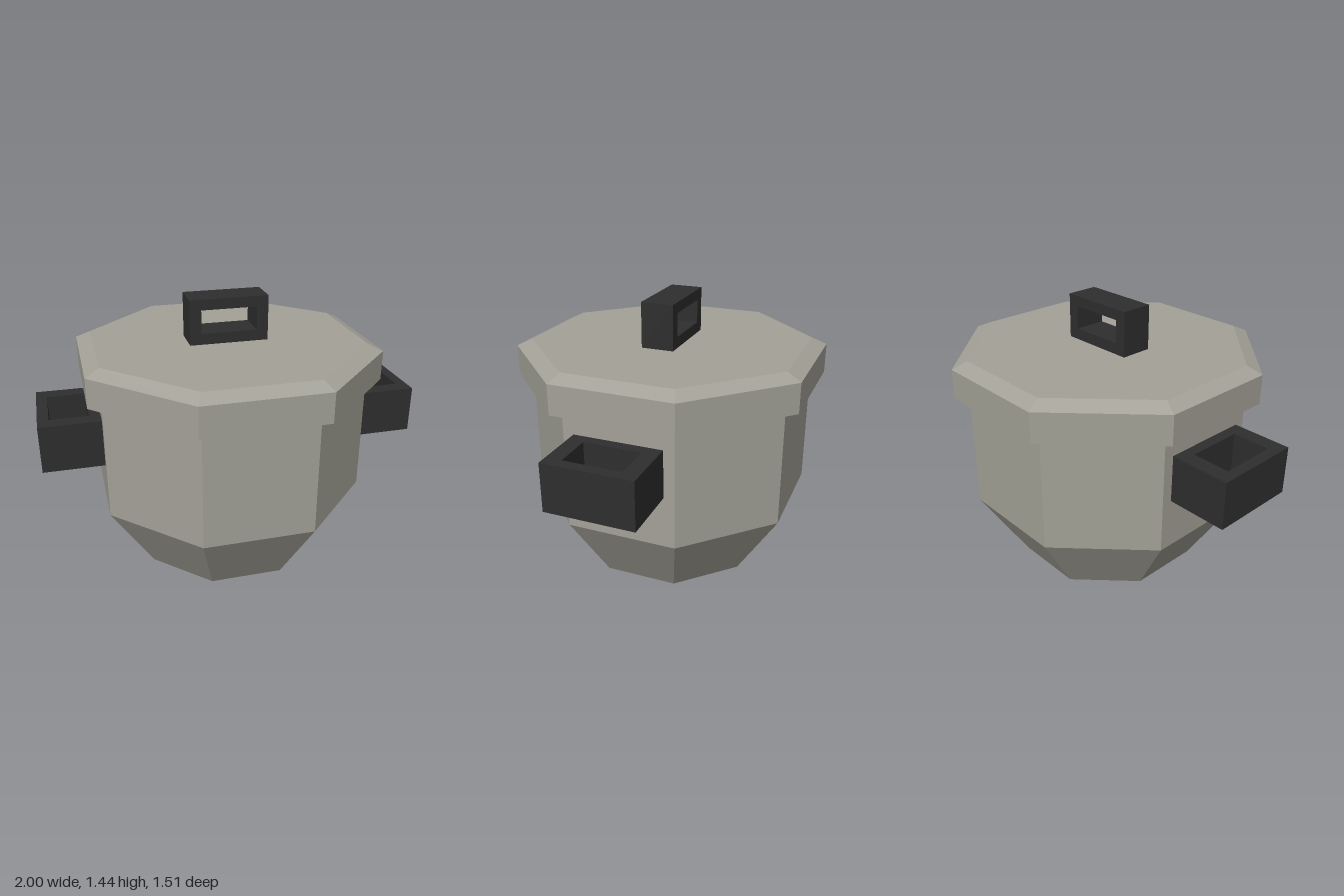
import * as THREE from 'three';

const steel = new THREE.MeshStandardMaterial({ color: 0xa3a197 });
steel.name = 'warm grey metal';
const black = new THREE.MeshStandardMaterial({ color: 0x2e2e2e });
black.name = 'black plastic';

// Eight-sided solid from [apothem, height] points, flat sides facing the axes
function octagonSolid(name, profile) {
  const points = profile.map(([a, y]) => new THREE.Vector2(a / Math.cos(Math.PI / 8), y));
  const geometry = new THREE.LatheGeometry(points, 8, Math.PI / 8).toNonIndexed();
  geometry.computeVertexNormals();
  const mesh = new THREE.Mesh(geometry, steel);
  mesh.name = name;
  return mesh;
}

function rectangle(path, x0, y0, x1, y1) {
  path.moveTo(x0, y0);
  path.lineTo(x1, y0);
  path.lineTo(x1, y1);
  path.lineTo(x0, y1);
  path.closePath();
  return path;
}

// Rectangular loop with a rectangular opening
function frameGeometry(outer, hole, depth) {
  const shape = rectangle(new THREE.Shape(), ...outer);
  shape.holes.push(rectangle(new THREE.Path(), ...hole));
  const geometry = new THREE.ExtrudeGeometry(shape, { depth, bevelEnabled: false });
  geometry.translate(0, 0, -depth / 2);
  return geometry;
}

export function createModel() {
  const group = new THREE.Group();
  group.name = 'cookingPot';

  // Tapered pot body
  group.add(octagonSolid('potBody', [[0, 0], [0.46, 0], [0.688, 0.39], [0.688, 1.02], [0, 1.02]]));

  // Overhanging lid with a bevelled top edge
  group.add(octagonSolid('lid', [[0, 1.015], [0.757, 1.015], [0.757, 1.17], [0.683, 1.205], [0, 1.205]]));

  // Lid handle
  const knob = new THREE.Mesh(
    frameGeometry([-0.206, 1.203, 0.206, 1.44], [-0.146, 1.263, 0.146, 1.385], 0.17), black);
  knob.name = 'lidHandle';
  group.add(knob);

  // Side handles
  for (const side of [1, -1]) {
    const geometry = frameGeometry([0.68, -0.229, 1, 0.229], [0.745, -0.147, 0.943, 0.147], 0.248);
    geometry.rotateX(-Math.PI / 2);
    const handle = new THREE.Mesh(geometry, black);
    handle.name = side > 0 ? 'leftHandle' : 'rightHandle';
    handle.position.y = 0.779;
    handle.rotation.y = side > 0 ? 0 : Math.PI;
    group.add(handle);
  }
  return group;
}
